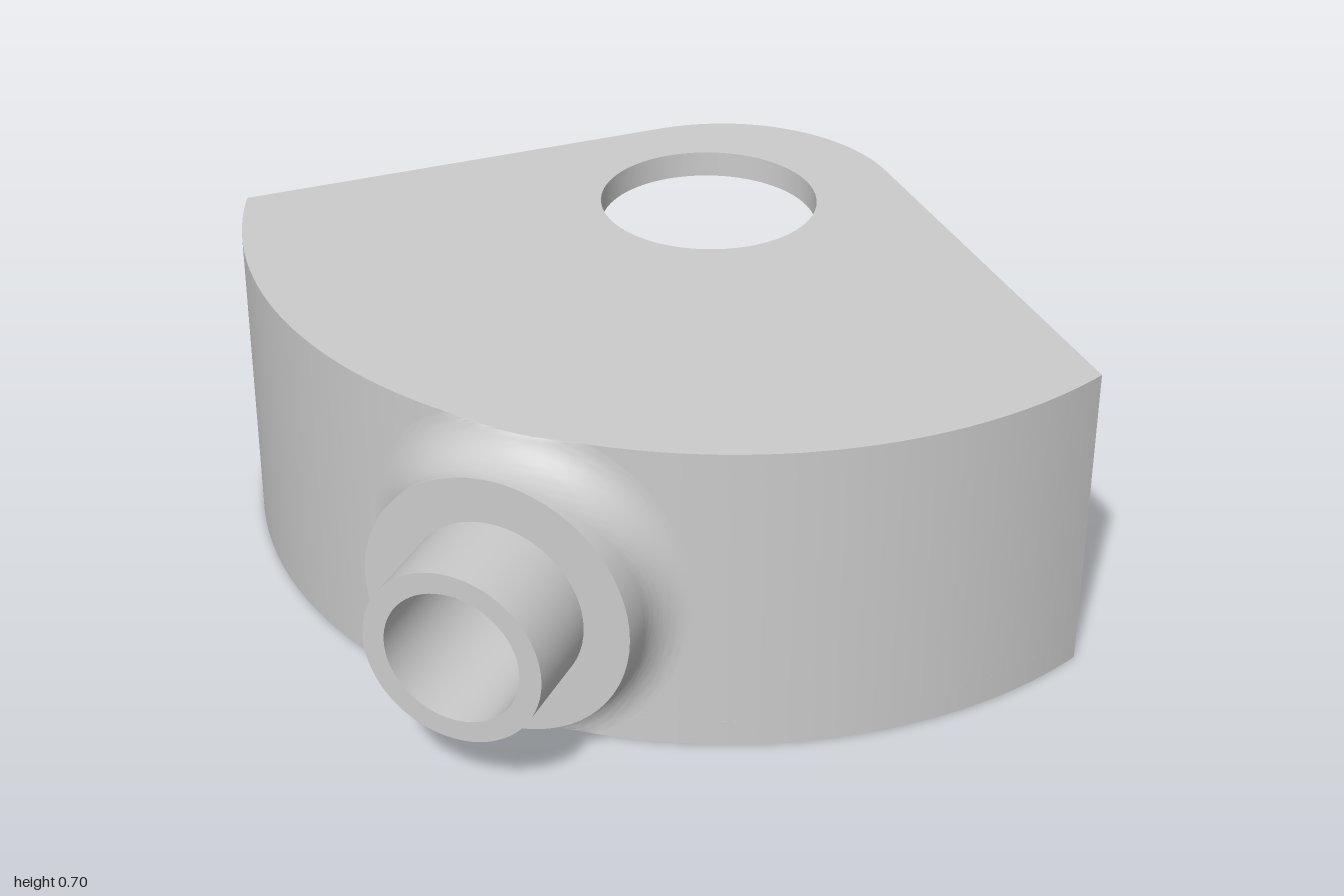
import * as THREE from 'three';
import { toCreasedNormals } from 'three/addons/utils/BufferGeometryUtils.js';
import { ParametricGeometry } from 'three/addons/geometries/ParametricGeometry.js';

const H = 0.705, MID = H / 2;      // height and mid-height
const PLATE = 0.06;                // plate thickness
const AXIS = -0.473;               // z of the axis of the curved wall
const R_OUT = 1.078, R_IN = 1.007; // wall radii
const FIL = 0.1;                   // fillet radius
const BOSS = 0.295, BORE = 0.148;

const lerp = THREE.MathUtils.lerp;
const material = new THREE.MeshStandardMaterial({ color: 0xcccccc });

// angle at which a wall of radius r meets the diagonal side planes
const endAngle = (r) => Math.PI / 4 + Math.asin(0.4221 / r);
const onWall = (p, r, angle, y) => p.set(r * Math.sin(angle), y, AXIS + r * Math.cos(angle));

// cavity section from floor to ceiling: fillet, straight wall, fillet
function cavityProfile(s) {
  const low = PLATE + FIL, high = H - PLATE - FIL;
  const k = s * 3;
  if (k < 1) {
    const t = k * Math.PI / 2;
    return [R_IN - FIL + FIL * Math.sin(t), low - FIL * Math.cos(t)];
  }
  if (k <= 2) return [R_IN, lerp(low, high, k - 1)];
  const t = (k - 2) * Math.PI / 2;
  return [R_IN - FIL + FIL * Math.cos(t), high + FIL * Math.sin(t)];
}
const outerProfile = (s) => [R_OUT, lerp(PLATE, H - PLATE, s)];

export function createModel() {
  const group = new THREE.Group();

  function add(name, geometry) {
    const mesh = new THREE.Mesh(toCreasedNormals(geometry, 0.6), material);
    mesh.name = name;
    group.add(mesh);
    return mesh;
  }
  const sheet = (name, f, nu, nv) => add(name, new ParametricGeometry(f, nu, nv));

  // stretch of wall between two angles, facing outward or into the cavity
  function sector(name, profile, from, to, s0, s1, inward) {
    sheet(name, (u, v, p) => {
      const [r, y] = profile(lerp(s0, s1, v));
      onWall(p, r, lerp(from(r), to(r), inward ? 1 - u : u), y);
    }, 40, 24);
  }

  // square patch of wall with a round hole
  function holedPatch(name, r, half, hole, inward) {
    sheet(name, (u, v, p) => {
      const a = v * Math.PI * 2, c = Math.cos(a), s = Math.sin(a);
      const edge = half / Math.max(Math.abs(c), Math.abs(s));
      const d = lerp(hole, edge, inward ? 1 - u : u);
      onWall(p, r, Math.asin(d * c / r), MID + d * s);
    }, 6, 64);
  }

  // top and bottom plates
  const outline = new THREE.Shape();
  const corner = Math.PI / 2 - endAngle(R_OUT);
  outline.absarc(0, -AXIS, R_OUT, Math.PI + corner, 2 * Math.PI - corner, false);
  outline.absarc(0, 0.505, 0.4, Math.PI / 4, Math.PI * 3 / 4, false);
  outline.closePath();
  const pinHole = new THREE.Path();
  pinHole.absarc(-0.035, 0.485, 0.245, 0, Math.PI * 2, true);
  outline.holes.push(pinHole);
  for (const [name, y] of [['bottomPlate', 0], ['topPlate', H - PLATE]]) {
    const g = new THREE.ExtrudeGeometry(outline, { depth: PLATE, bevelEnabled: false, curveSegments: 80 });
    add(name, g.rotateX(-Math.PI / 2)).position.y = y;
  }

  // curved front wall, outside and cavity side
  const halfOut = MID - PLATE, halfIn = MID - PLATE - FIL;
  const walls = [
    ['outerWall', outerProfile, halfOut, R_OUT, false],
    ['cavityWall', cavityProfile, halfIn, R_IN, true],
  ];
  for (const [name, profile, half, radius, inward] of walls) {
    const inner = () => Math.asin(half / radius);
    sector(name + 'Left', profile, inner, endAngle, 0, 1, inward);
    sector(name + 'Right', profile, (r) => -endAngle(r), () => -inner(), 0, 1, inward);
    holedPatch(name + 'Centre', radius, half, inward ? BORE : 0.25, inward);
    if (inward) {
      sector('floorFillet', profile, () => -inner(), inner, 0, 1 / 3, true);
      sector('ceilingFillet', profile, () => -inner(), inner, 2 / 3, 1, true);
    }
  }

  // flat wall ends on the diagonal sides
  for (const side of [1, -1]) {
    sheet(side > 0 ? 'wallEndLeft' : 'wallEndRight', (u, v, p) => {
      const [rIn, y] = cavityProfile(v);
      const r = lerp(R_OUT, rIn, side > 0 ? u : 1 - u);
      onWall(p, r, side * endAngle(r), y);
    }, 4, 48);
  }

  // boss, spigot and through bore
  const profile = [
    [BOSS, 0.55], [BOSS, 0.71], [0.195, 0.71], [0.195, 0.905], [BORE, 0.905], [BORE, 0.525],
  ].map(([r, z]) => new THREE.Vector2(r, z));
  add('bossAndSpigot', new THREE.LatheGeometry(profile, 64).rotateX(Math.PI / 2)).position.y = MID;

  // rolling-ball fillet from boss to curved wall, trimmed at the plate faces
  const toBoss = new THREE.Vector3(), toWall = new THREE.Vector3();
  sheet('bossFillet', (u, v, p) => {
    const a = v * Math.PI * 2, t = u * Math.PI / 2;
    const x = (BOSS + FIL) * Math.cos(a), y = MID + (BOSS + FIL) * Math.sin(a);
    const depth = Math.sqrt((R_OUT + FIL) ** 2 - x * x);
    toBoss.set(-Math.cos(a), -Math.sin(a), 0).multiplyScalar(Math.cos(t));
    toWall.set(-x, 0, -depth).normalize().multiplyScalar(Math.sin(t));
    p.copy(toBoss).add(toWall).setLength(FIL);
    p.x += x;
    p.y = THREE.MathUtils.clamp(p.y + y, 0, H);
    p.z += AXIS + depth;
  }, 20, 96);

  return group;
}
